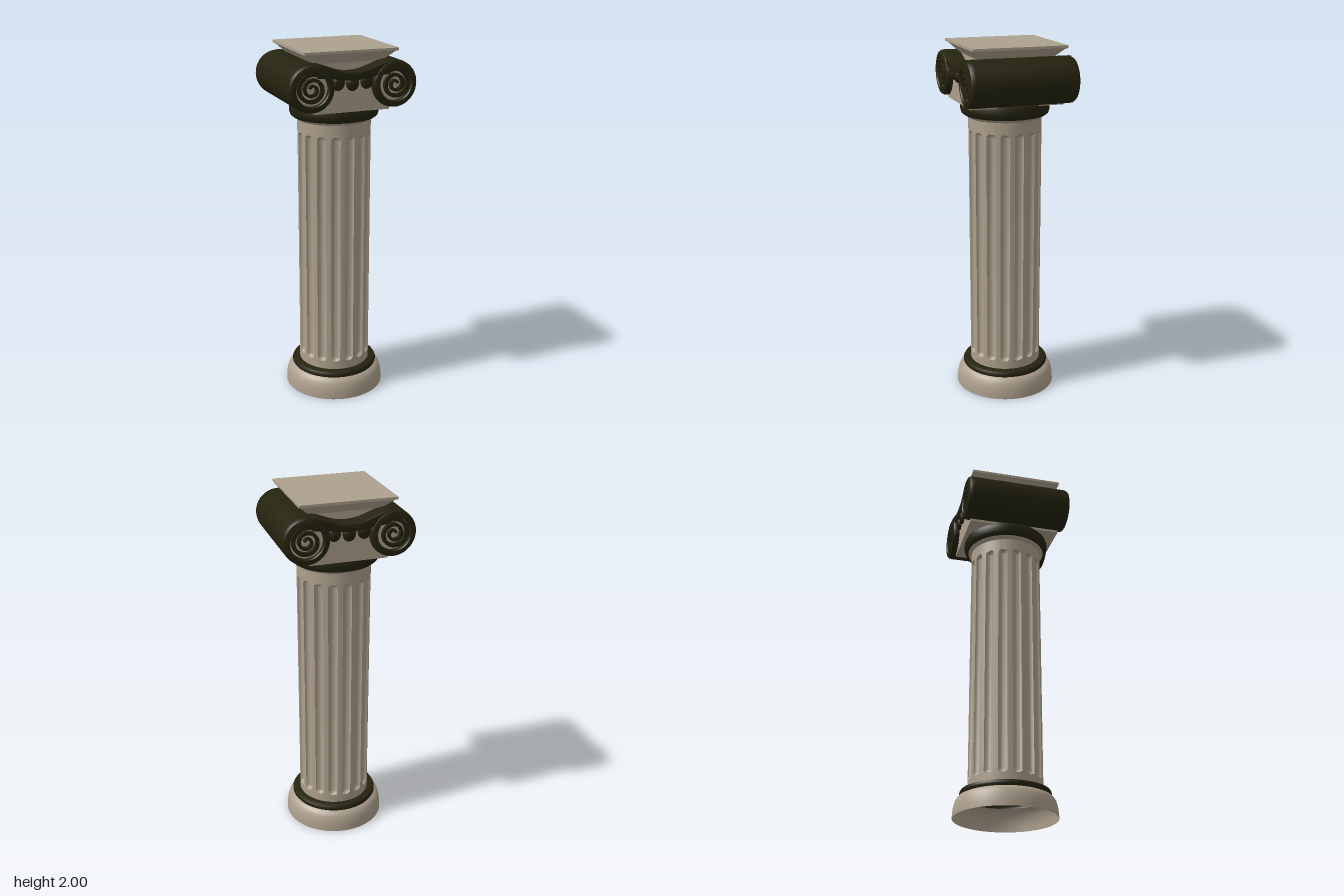
import * as THREE from 'three';
import { toCreasedNormals } from 'three/addons/utils/BufferGeometryUtils.js';

const stone = new THREE.MeshStandardMaterial({ color: 0xada08d, side: THREE.DoubleSide });
stone.name = 'warm stone';
const bronze = new THREE.MeshStandardMaterial({ color: 0x24230f, side: THREE.DoubleSide });
bronze.name = 'dark bronze';

const SCROLL = { x: 0.232, y: 1.817, r: 0.125 };

function add(parent, name, geometry, material, x = 0, y = 0, z = 0) {
  const mesh = new THREE.Mesh(geometry, material);
  mesh.name = name;
  mesh.position.set(x, y, z);
  parent.add(mesh);
  return mesh;
}

const points = (list) => list.map(([a, b]) => new THREE.Vector2(a, b));
const turned = (list, sides = 64) => toCreasedNormals(new THREE.LatheGeometry(points(list), sides), 0.6);

// Square section swept up a profile of [half width, height]
function squareTurned(list) {
  const g = new THREE.LatheGeometry(points(list.map(([w, y]) => [w * Math.SQRT2, y])), 4, Math.PI / 4).toNonIndexed();
  g.computeVertexNormals();
  return g;
}

// Hollow shaft whose wall is pushed in along round-ended flutes
function flutedShaft() {
  const R = 0.203, flutes = 16, perFlute = 14, half = 0.026, depth = 0.021, low = 0.2, high = 1.53;
  const ys = [0.14, low];
  for (let i = 1; i <= 8; i++) ys.push(low + half * (1 - Math.cos((i / 8) * Math.PI / 2)));
  for (let i = 8; i >= 0; i--) ys.push(high - half * (1 - Math.cos((i / 8) * Math.PI / 2)));
  ys.push(1.6);
  const cols = flutes * perFlute;
  const pitch = (Math.PI * 2) / flutes;
  const pos = [], index = [];
  for (const y of ys) {
    const past = Math.max(low + half - y, y - (high - half), 0);
    for (let c = 0; c <= cols; c++) {
      // ten steps across the flute, two on each side for the fillet
      const k = c % perFlute - perFlute / 2;
      const arc = Math.abs(k) <= 5
        ? half * Math.sin((k / 5) * Math.PI / 2)
        : Math.sign(k) * (half + (Math.abs(k) - 5) / 2 * (pitch * R / 2 - half));
      const d = Math.hypot(arc, past) / half;
      const r = R - (d < 1 ? depth * Math.sqrt(1 - d * d) : 0);
      const a = Math.floor(c / perFlute) * pitch + arc / R + 0.07;
      pos.push(Math.sin(a) * r, y, Math.cos(a) * r);
    }
  }
  for (let j = 0; j < ys.length - 1; j++) {
    for (let c = 0; c < cols; c++) {
      const a = j * (cols + 1) + c, b = a + cols + 1;
      index.push(a, a + 1, b + 1, a, b + 1, b);
    }
  }
  const g = new THREE.BufferGeometry();
  g.setAttribute('position', new THREE.Float32BufferAttribute(pos, 3));
  g.setIndex(index);
  return toCreasedNormals(g, 0.6);
}

// Flat coil winding inwards; side is -1 or 1
function coil(side) {
  const outer = [], inner = [], steps = 90, turns = 2.3;
  for (let i = 0; i <= steps; i++) {
    const t = i / steps;
    const a = Math.PI * 0.3 + t * turns * Math.PI * 2;
    const r = 0.092 - 0.074 * t;
    const w = 0.022 - 0.01 * t;
    outer.push([-side * Math.cos(a) * r, Math.sin(a) * r]);
    inner.push([-side * Math.cos(a) * (r - w), Math.sin(a) * (r - w)]);
  }
  const shape = new THREE.Shape(points(outer.concat(inner.reverse())));
  return new THREE.ExtrudeGeometry(shape, { depth: 0.03, bevelEnabled: false });
}

// Sagging band that joins the two scrolls
function cushion() {
  const s = new THREE.Shape();
  s.moveTo(-0.232, 1.942);
  s.bezierCurveTo(-0.14, 1.942, -0.1, 1.89, 0, 1.89);
  s.bezierCurveTo(0.1, 1.89, 0.14, 1.942, 0.232, 1.942);
  s.lineTo(0.2, 1.87);
  s.lineTo(0.125, 1.865);
  s.quadraticCurveTo(0.07, 1.85, 0, 1.85);
  s.quadraticCurveTo(-0.07, 1.85, -0.125, 1.865);
  s.lineTo(-0.2, 1.87);
  const g = new THREE.ExtrudeGeometry(s, {
    depth: 0.572, curveSegments: 20, bevelThickness: 0.007, bevelSize: 0.005, bevelOffset: -0.005, bevelSegments: 3,
  });
  return toCreasedNormals(g.translate(0, 0, -0.286), 0.6);
}

export function createModel() {
  const column = new THREE.Group();
  column.name = 'column';

  // Foot and shaft, open underneath
  add(column, 'base', turned([[0.283, 0], [0.282, 0.03], [0.278, 0.06], [0.269, 0.09], [0.256, 0.11], [0.235, 0.12]]), stone);
  add(column, 'baseRing', turned([[0.23, 0.115], [0.24, 0.118], [0.246, 0.127], [0.246, 0.138], [0.24, 0.148], [0.225, 0.153], [0.2, 0.153]]), bronze);
  add(column, 'shaft', flutedShaft(), stone);

  // Neck and collar under the capital
  add(column, 'neck', turned([[0.203, 1.595], [0.212, 1.602], [0.222, 1.612], [0.222, 1.63]]), stone);
  add(column, 'collar', turned([[0.2, 1.612], [0.228, 1.612], [0.24, 1.622], [0.246, 1.642], [0.246, 1.668], [0.24, 1.684], [0.2, 1.69]]), bronze);

  // Capital
  const capital = new THREE.Group();
  capital.name = 'capital';
  column.add(capital);
  add(capital, 'capitalBlock', new THREE.BoxGeometry(0.42, 0.2, 0.524), stone, 0, 1.78, 0);
  add(capital, 'abacus', squareTurned([[0.2, 1.86], [0.2, 1.93], [0.212, 1.945], [0.25, 1.982], [0.262, 1.986], [0.262, 2], [0, 2]]), stone);
  add(capital, 'cushion', cushion(), bronze);

  // Scroll barrels running front to back
  const r = SCROLL.r;
  const half = [[0.088, 0.27], [0.088, 0.294], [0.093, 0.3], [r - 0.022, 0.3], [r - 0.008, 0.295], [r - 0.002, 0.286], [r, 0.27]];
  const barrel = turned([...half, ...half.map(([a, z]) => [a, -z]).reverse()].reverse(), 48);
  barrel.rotateX(Math.PI / 2);
  for (const side of [-1, 1]) add(capital, 'scrollBarrel', barrel, bronze, side * SCROLL.x, SCROLL.y, 0);

  // Ornament of one face, repeated on the back
  for (const turn of [0, Math.PI]) {
    const face = new THREE.Group();
    face.name = turn ? 'backOrnament' : 'frontOrnament';
    face.rotation.y = turn;
    capital.add(face);
    for (const side of [-1, 1]) {
      const x = side * SCROLL.x;
      add(face, 'scrollRecess', new THREE.CircleGeometry(0.092, 40), stone, x, SCROLL.y, 0.275);
      add(face, 'scrollCoil', coil(side), bronze, x, SCROLL.y, 0.268);
    }
    for (const i of [-1, 0, 1]) {
      const egg = add(face, 'egg', new THREE.SphereGeometry(1, 24, 16), bronze, i * 0.08, i ? 1.838 : 1.832, 0.262);
      egg.scale.set(0.036, 0.042, 0.026);
    }
  }
  return column;
}
